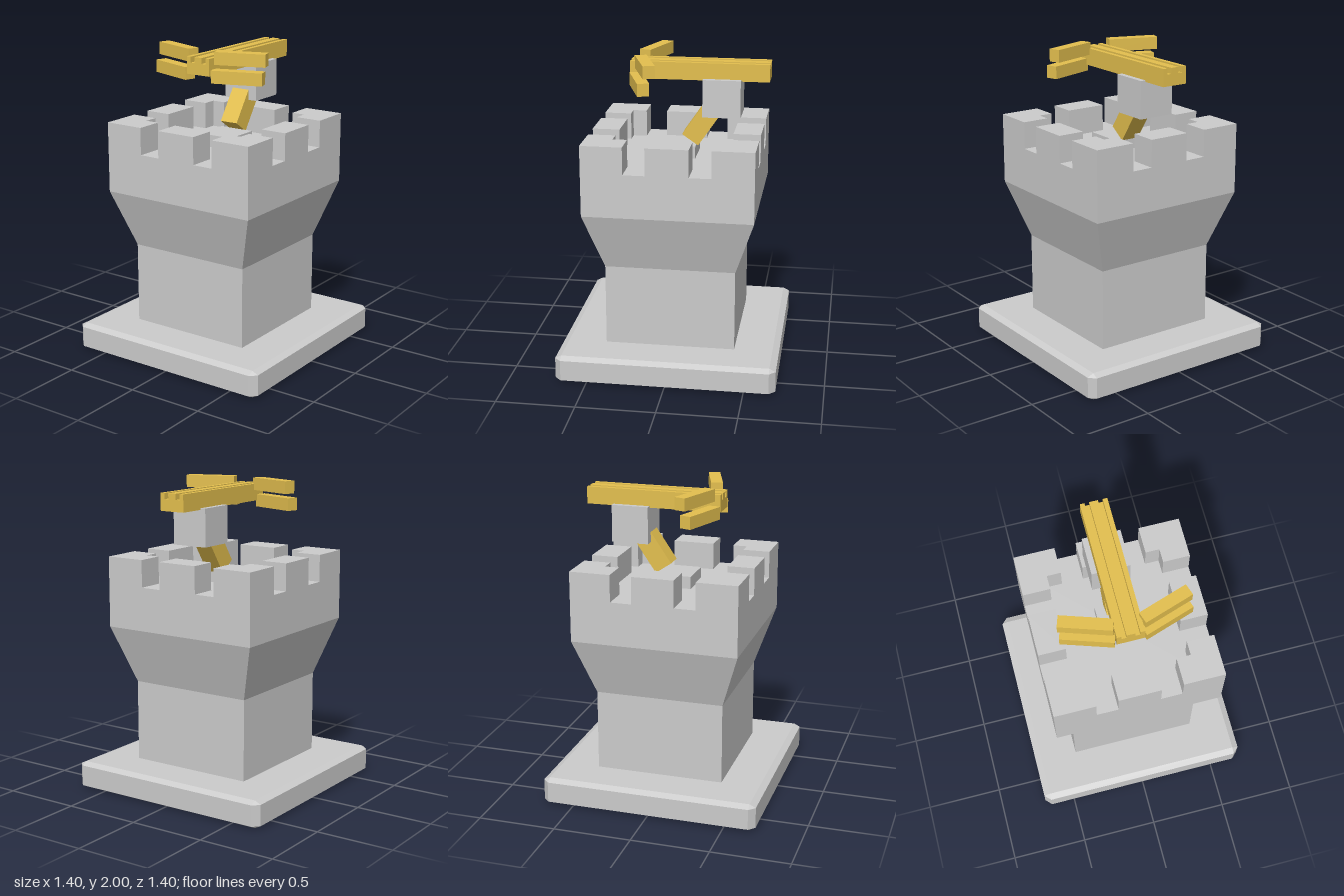
import * as THREE from 'three';
import { ConvexGeometry } from 'three/addons/geometries/ConvexGeometry.js';

const stone = new THREE.MeshStandardMaterial({ color: 0xcccccc, flatShading: true });
const wood = new THREE.MeshStandardMaterial({ color: 0xe3bf4e, flatShading: true });

export function createModel() {
  const model = new THREE.Group();
  model.name = 'ballistaTower';

  function add(name, geometry, material, x = 0, y = 0, z = 0, parent = model) {
    const mesh = new THREE.Mesh(geometry, material);
    mesh.name = name;
    mesh.position.set(x, y, z);
    parent.add(mesh);
    return mesh;
  }
  const box = (w, h, d) => new THREE.BoxGeometry(w, h, d);

  // Base slab with every edge and corner chamfered
  const half = 0.7, inset = 0.66, height = 0.175, lip = 0.02;
  const corners = [];
  for (const sx of [-1, 1]) for (const sz of [-1, 1]) {
    for (const [end, edge] of [[0, lip], [height, height - lip]]) {
      corners.push(
        new THREE.Vector3(sx * inset, end, sz * inset),
        new THREE.Vector3(sx * half, edge, sz * inset),
        new THREE.Vector3(sx * inset, edge, sz * half)
      );
    }
  }
  add('base', new ConvexGeometry(corners), stone);

  // Square tower: straight shaft, flared collar, parapet and flat floor
  const profile = [[0, 0.16], [0.415, 0.16], [0.415, 0.7], [0.537, 1.07], [0.537, 1.35], [0, 1.35]]
    .map(([r, y]) => new THREE.Vector2(r * Math.SQRT2, y));
  add('tower', new THREE.LatheGeometry(profile, 4, Math.PI / 4), stone);

  // Battlements: an L-shaped corner and a middle block on each side
  const [a, b, c] = [0.273, 0.363, 0.537];
  const cornerShape = new THREE.Shape(
    [[a, b], [b, b], [b, a], [c, a], [c, c], [a, c]].map(([x, y]) => new THREE.Vector2(x, y))
  );
  const cornerGeometry = new THREE.ExtrudeGeometry(cornerShape, { depth: 0.175, bevelEnabled: false });
  cornerGeometry.rotateX(-Math.PI / 2);
  const middleGeometry = box(0.27, 0.175, c - b);
  for (let i = 0; i < 4; i++) {
    const side = new THREE.Group();
    side.name = 'battlementSide';
    side.rotation.y = i * Math.PI / 2;
    add('cornerMerlon', cornerGeometry, stone, 0, 1.35, 0, side);
    add('middleMerlon', middleGeometry, stone, 0, 1.4375, (b + c) / 2, side);
    model.add(side);
  }

  // Ballista mount: pedestal, leaning strut and pivot block
  add('pedestal', box(0.24, 0.09, 0.24), stone, 0, 1.385, 0);
  const strut = add('strut', box(0.124, 0.3, 0.124), wood, 0, 1.579, -0.164);
  strut.rotation.x = -0.6;
  add('pivotBlock', box(0.24, 0.24, 0.24), stone, 0, 1.74, -0.283);

  // Rail with two grooves running along its top
  const rail = new THREE.Shape([
    [-0.085, 1.85], [0.085, 1.85], [0.085, 1.96], [0.056, 1.96], [0.056, 1.923], [0.027, 1.923], [0.027, 1.96],
    [-0.027, 1.96], [-0.027, 1.923], [-0.056, 1.923], [-0.056, 1.96], [-0.085, 1.96]
  ].map(([x, y]) => new THREE.Vector2(x, y)));
  add('rail', new THREE.ExtrudeGeometry(rail, { depth: 0.88, bevelEnabled: false }), wood, 0, 0, -0.58);

  // Two swept-back bow arms on each side
  const armGeometry = box(0.325, 0.08, 0.075);
  for (const s of [-1, 1]) {
    for (const [name, y, z] of [['upperBowArm', 1.96, 0.18], ['lowerBowArm', 1.85, 0.215]]) {
      add(name, armGeometry, wood, s * 0.24, y, z).rotation.y = s * 0.32;
    }
  }

  return model;
}
